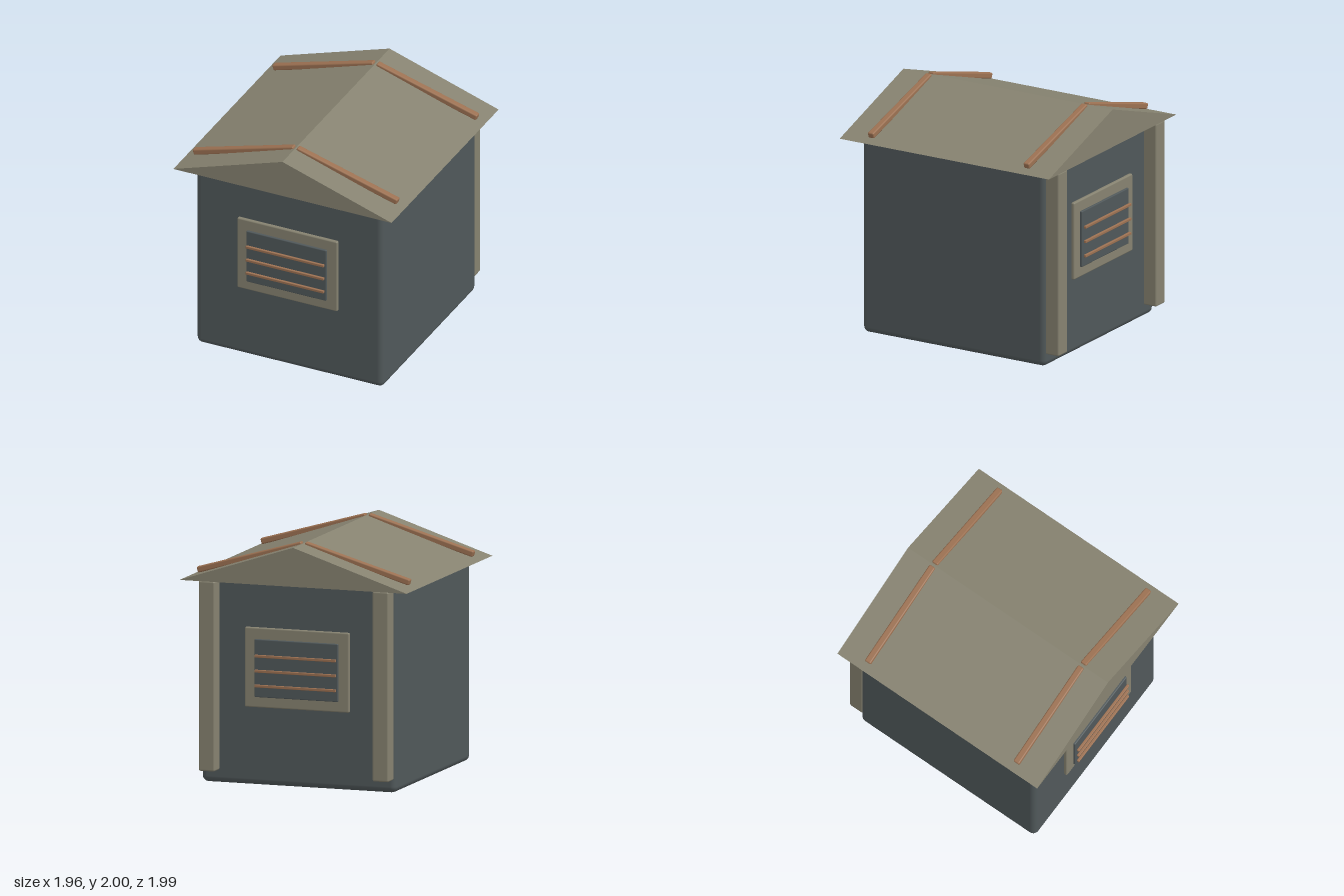
import * as THREE from 'three';
import { RoundedBoxGeometry } from 'three/addons/geometries/RoundedBoxGeometry.js';

export function createModel() {
  const mat = (name, color, side = THREE.FrontSide) => {
    const m = new THREE.MeshStandardMaterial({ color, side });
    m.name = name;
    return m;
  };
  const slate = mat('slate grey', 0x50585a);
  const olive = mat('olive trim', 0x868270, THREE.DoubleSide);
  const copper = mat('copper brown', 0x9c7152);

  const model = new THREE.Group();
  model.name = 'hut';

  const box = (parent, name, size, pos, radius, material, segments = 2) => {
    const mesh = new THREE.Mesh(new RoundedBoxGeometry(...size, segments, radius), material);
    mesh.position.set(...pos);
    mesh.name = name;
    parent.add(mesh);
    return mesh;
  };

  // Body, its top tucked inside the roof
  box(model, 'body', [1.68, 1.71, 1.74], [0, 0.855, 0], 0.05, slate, 4);

  // Gabled roof: two slopes and two gables, open underneath
  const W = 0.98, D = 0.995, eave = 1.665, ridge = 1.985;
  const pos = [];
  const tri = (...points) => points.forEach((p) => pos.push(...p));
  for (const s of [1, -1]) {
    // turning half a circle about y gives the opposite slope and gable
    const a = [s * W, eave, s * D], b = [s * W, eave, -s * D];
    const c = [0, ridge, -s * D], d = [0, ridge, s * D];
    tri(a, b, c, a, c, d);
    tri([-s * W, eave, s * D], a, d);
  }
  const roofGeo = new THREE.BufferGeometry();
  roofGeo.setAttribute('position', new THREE.Float32BufferAttribute(pos, 3));
  roofGeo.computeVertexNormals();
  const roof = new THREE.Mesh(roofGeo, olive);
  roof.name = 'roof';
  model.add(roof);

  // Roof battens, sinking into the slopes towards the ridge
  const pitch = THREE.MathUtils.degToRad(16);
  for (const z of [-0.74, 0.74]) {
    for (const s of [-1, 1]) {
      const batten = box(model, 'roofBatten', [0.94, 0.05, 0.056], [s * 0.463, 1.845, z], 0.012, copper);
      batten.rotation.z = -s * pitch;
    }
  }

  // Matching louvred windows, front and back
  for (const [name, turn] of [['frontWindow', 0], ['backWindow', Math.PI]]) {
    const win = new THREE.Group();
    win.name = name;
    win.rotation.y = turn;
    box(win, 'windowFrame', [0.9, 0.655, 0.034], [0, 0.97, 0.892], 0.012, olive);
    box(win, 'windowPanel', [0.72, 0.475, 0.05], [0, 0.967, 0.902], 0.008, slate);
    for (const y of [0.825, 0.947, 1.07]) {
      box(win, 'windowSlat', [0.7, 0.022, 0.022], [0, y, 0.947], 0.004, copper);
    }
    model.add(win);
  }

  // Posts against the back wall
  for (const x of [-0.75, 0.75]) {
    box(model, 'backPost', [0.14, 1.56, 0.13], [x, 0.887, -0.925], 0.015, olive);
  }

  return model;
}
